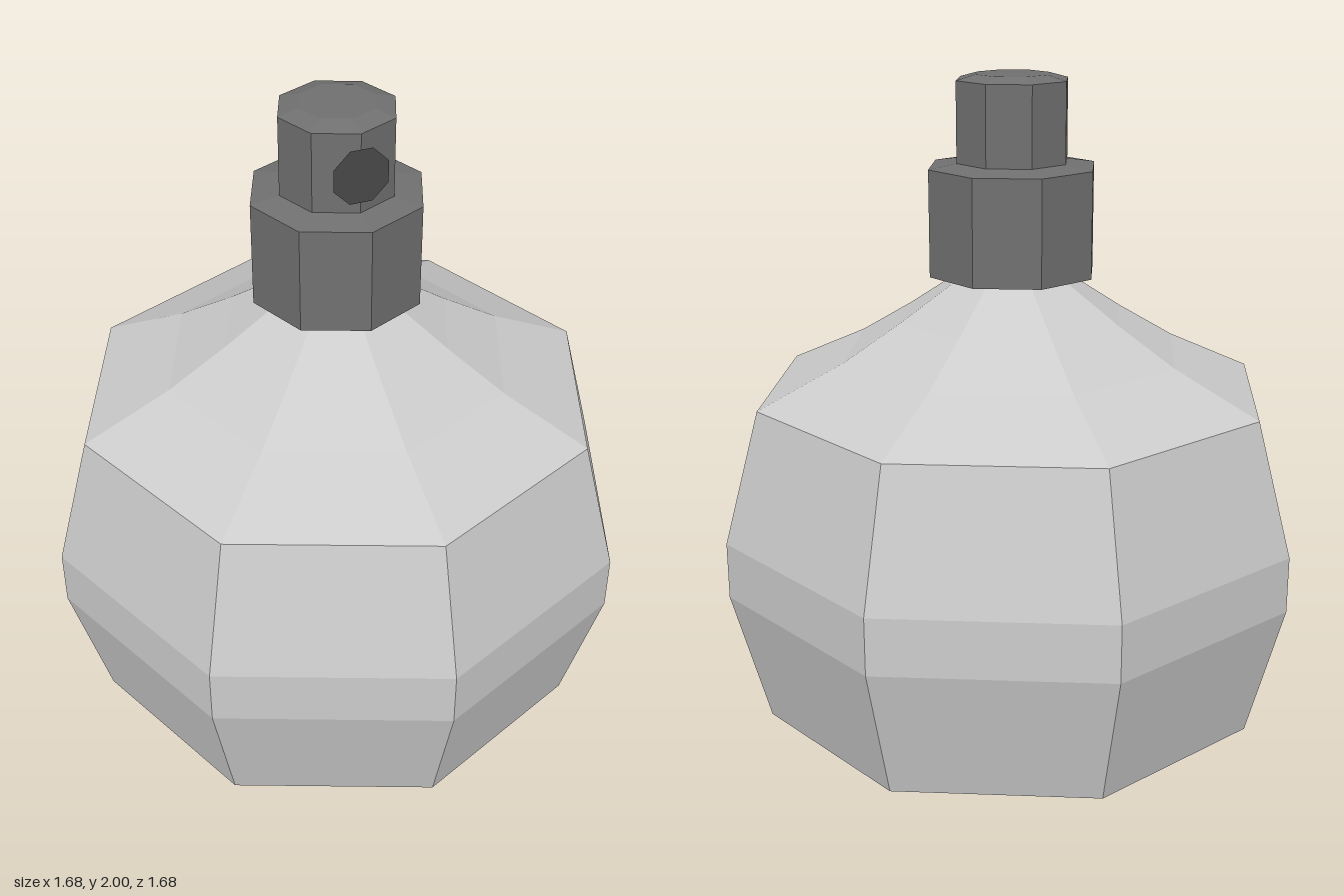
import * as THREE from 'three';

const SIDES = 8;

// Faceted solid of revolution; profile runs from bottom to top as [radius, y]
function turned(name, color, profile) {
  const points = profile.map(([r, y]) => new THREE.Vector2(r, y));
  const material = new THREE.MeshStandardMaterial({ color, flatShading: true });
  const mesh = new THREE.Mesh(new THREE.LatheGeometry(points, SIDES), material);
  mesh.name = name;
  return mesh;
}

export function createModel() {
  const model = new THREE.Group();
  model.name = 'sprayBottle';

  // Round bottle with a sloping shoulder
  model.add(turned('bottleBody', 0xcccccc, [
    [0, 0], [0.49, 0.08], [0.735, 0.2], [0.838, 0.585], [0.838, 0.745],
    [0.735, 1.12], [0.49, 1.235], [0.325, 1.335], [0.16, 1.445], [0, 1.445],
  ]));

  // Collar around the neck
  model.add(turned('collar', 0x707070, [
    [0, 1.447], [0.17, 1.447], [0.24, 1.457], [0.24, 1.752], [0.16, 1.765], [0, 1.765],
  ]));

  // Push button on top
  model.add(turned('pushButton', 0x707070, [
    [0, 1.755], [0.16, 1.755], [0.16, 1.985], [0.105, 2], [0, 2],
  ]));

  // Spray opening on the front of the button
  const opening = new THREE.Mesh(
    new THREE.CircleGeometry(0.08, SIDES, Math.PI / 8),
    new THREE.MeshStandardMaterial({ color: 0x484848, side: THREE.DoubleSide, flatShading: true }),
  );
  opening.name = 'sprayOpening';
  opening.position.set(0, 1.87, 0.163);
  model.add(opening);

  return model;
}
